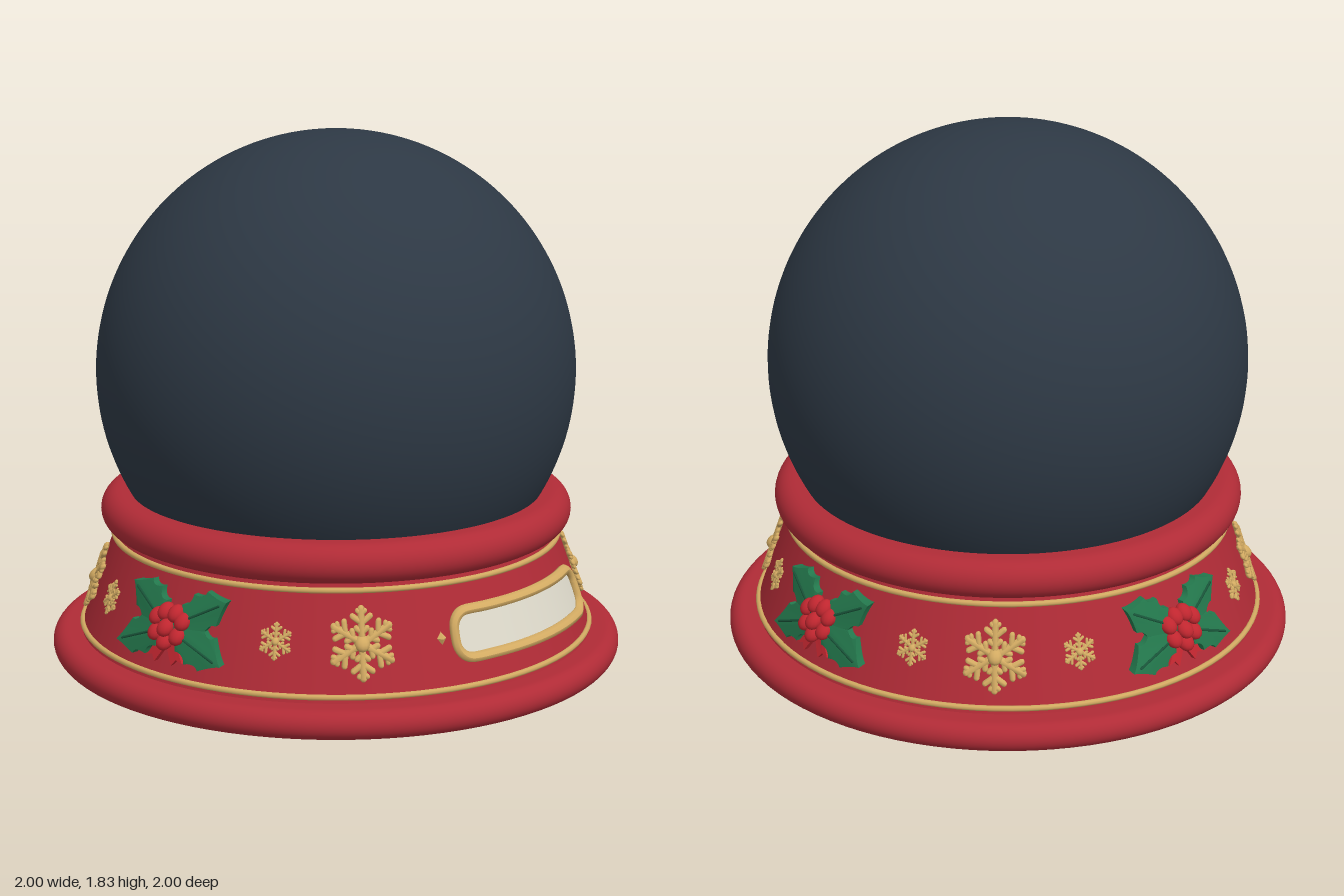
import * as THREE from 'three';
import { mergeGeometries, toCreasedNormals } from 'three/addons/utils/BufferGeometryUtils.js';

const makeMaterial = (name, color, side = THREE.FrontSide) => {
  const m = new THREE.MeshStandardMaterial({ color, side });
  m.name = name;
  return m;
};

const MID_Y = 0.28;
const wallRadius = (y) => 0.895 - 0.115 * (y - 0.11) / 0.32;

// Bends a flat ornament (x across, y up, z outward) around the conical wall.
function wrap(geometry, angle) {
  const g = geometry.clone();
  const p = g.attributes.position;
  for (let i = 0; i < p.count; i++) {
    const y = MID_Y + p.getY(i);
    const a = angle + p.getX(i) / 0.84;
    const r = wallRadius(y) + p.getZ(i);
    p.setXYZ(i, Math.sin(a) * r, y, Math.cos(a) * r);
  }
  g.computeVertexNormals();
  return g;
}

// Half-round edge profile, from lower inner point to upper inner point.
function roundedProfile(cx, cy, r, inner, first) {
  const pts = [new THREE.Vector2(first, cy - r), new THREE.Vector2(cx - 0.01, cy - r)];
  for (let i = 0; i <= 16; i++) {
    const t = -Math.PI / 2 + Math.PI * i / 16;
    pts.push(new THREE.Vector2(cx + Math.cos(t) * r, cy + Math.sin(t) * r));
  }
  pts.push(new THREE.Vector2(cx - 0.01, cy + r), new THREE.Vector2(inner, cy + r));
  return pts;
}

// Six branching arms with beads and a centre boss.
function snowflakeGeometry(size) {
  const parts = [];
  const bar = (x, y, len, rot, r) => new THREE.CapsuleGeometry(r, len, 3, 6)
    .translate(0, len / 2, 0).rotateZ(rot).translate(x, y, 0);
  for (let k = 0; k < 6; k++) {
    const arm = [bar(0, 0, 0.098, 0, 0.011)];
    for (const s of [-1, 1]) {
      arm.push(bar(0, 0.058, 0.034, s * 0.95, 0.009));
      arm.push(bar(0, 0.032, 0.02, s * 0.95, 0.009));
      arm.push(bar(0, 0.085, 0.014, s * 0.95, 0.008));
    }
    for (const a of arm) parts.push(a.rotateZ(k * Math.PI / 3));
  }
  parts.push(new THREE.SphereGeometry(0.024, 12, 8));
  return mergeGeometries(parts).scale(size, size, size).translate(0, 0, 0.01 * size);
}

// Spiny leaf along +x, folded along its midrib.
function leafGeometry() {
  const tips = [[0.065, 0.05], [0.115, 0.066], [0.17, 0.056], [0.235, 0]];
  const halves = [-1, 1].map((s) => {
    const shape = new THREE.Shape();
    shape.moveTo(0.02, 0);
    let [px, pw] = [0.02, 0.01];
    shape.lineTo(px, s * pw);
    for (const [x, w] of tips) {
      shape.quadraticCurveTo((px + x) / 2 + 0.008, s * Math.max(0.012, (pw + w) / 2 - 0.024), x, s * w);
      [px, pw] = [x, w];
    }
    shape.lineTo(0.02, 0);
    const g = new THREE.ExtrudeGeometry(shape, { depth: 0.036, bevelEnabled: false, curveSegments: 5 });
    const p = g.attributes.position;
    for (let i = 0; i < p.count; i++) {
      if (p.getZ(i) > 0.01) p.setZ(i, 0.036 - 0.26 * Math.abs(p.getY(i)));
      else p.setZ(i, -0.005);
    }
    return g;
  });
  return mergeGeometries(halves);
}

// Closed outline used by the plaque frame.
function roundedRectPath(hw, hh, r) {
  const pts = [];
  const corners = [[1, 1], [-1, 1], [-1, -1], [1, -1]];
  corners.forEach(([sx, sy], c) => {
    for (let i = 0; i <= 5; i++) {
      const t = (c + i / 5) * Math.PI / 2;
      pts.push(new THREE.Vector3(sx * (hw - r) + Math.cos(t) * r, sy * (hh - r) + Math.sin(t) * r, 0.018));
    }
    if (c % 2 === 0) {
      for (let i = 1; i < 8; i++) pts.push(new THREE.Vector3(sx * (hw - r) * (1 - i / 4), sy * hh, 0.018));
    }
  });
  return new THREE.CatmullRomCurve3(pts, true, 'centripetal');
}

export function createModel() {
  const red = makeMaterial('base red', 0xb02b36);
  const berryRed = makeMaterial('berry red', 0xc0262f, THREE.DoubleSide);
  const gold = makeMaterial('gold', 0xd2aa62);
  const glass = makeMaterial('dark glass', 0x2d3844);
  const green = makeMaterial('holly green', 0x23774c);
  const darkGreen = makeMaterial('vein green', 0x185338);
  const cream = makeMaterial('plaque cream', 0xdedacb);

  const model = new THREE.Group();
  model.name = 'snowGlobe';
  const add = (name, geometry, material, parent = model) => {
    const mesh = new THREE.Mesh(geometry, material);
    mesh.name = name;
    parent.add(mesh);
    return mesh;
  };
  const group = (name) => {
    const g = new THREE.Group();
    g.name = name;
    model.add(g);
    return g;
  };

  // Globe and turned base
  add('globe', new THREE.SphereGeometry(0.83, 96, 64, 0, Math.PI * 2, 0, 2.3).translate(0, 1, 0), glass);
  add('baseFlange', new THREE.LatheGeometry(roundedProfile(0.951, 0.05, 0.049, 0.86, 0), 96), red);
  add('baseWall', new THREE.LatheGeometry(
    [0.09, 0.2, 0.32, 0.48].map((y) => new THREE.Vector2(wallRadius(y), y)), 96), red);
  add('collar', new THREE.LatheGeometry(roundedProfile(0.757, 0.522, 0.066, 0.68, 0.72), 96), red);
  for (const [name, y] of [['lowerTrim', 0.118], ['upperTrim', 0.437]]) {
    add(name, new THREE.TorusGeometry(wallRadius(y) + 0.003, 0.01, 8, 96)
      .rotateX(Math.PI / 2).translate(0, y, 0), gold);
  }

  // Name plaque on the front
  const plaque = group('plaque');
  const hw = 0.35, hh = 0.073, r = 0.055;
  add('plaqueFrame', wrap(new THREE.TubeGeometry(roundedRectPath(hw, hh, r), 160, 0.016, 8, true), 0), gold, plaque);
  const panel = new THREE.PlaneGeometry(2, 2 * hh, 40, 12).translate(0, 0, 0.012);
  const pp = panel.attributes.position;
  for (let i = 0; i < pp.count; i++) {
    const dy = Math.max(0, Math.abs(pp.getY(i)) - (hh - r));
    pp.setX(i, pp.getX(i) * (hw - r + Math.sqrt(Math.max(0, r * r - dy * dy))));
  }
  add('plaquePanel', wrap(panel, 0), cream, plaque);
  for (const s of [-1, 1]) {
    const stud = new THREE.OctahedronGeometry(0.02).scale(0.8, 1, 0.7).translate(s * 0.395, -0.005, 0.008);
    add('plaqueStud', wrap(stud, 0), gold, plaque);
  }

  // Snowflakes around the wall
  const flakes = group('snowflakes');
  const large = snowflakeGeometry(1.06), small = snowflakeGeometry(0.54);
  for (const deg of [45, 135, 225, 315]) add('largeSnowflake', wrap(large, THREE.MathUtils.degToRad(deg)), gold, flakes);
  for (const deg of [64, 116, 154, 206, 244, 296]) add('smallSnowflake', wrap(small, THREE.MathUtils.degToRad(deg)), gold, flakes);

  // Holly sprigs on both sides and the back
  const leaf = leafGeometry();
  const rib = new THREE.CapsuleGeometry(0.004, 0.17, 2, 6).rotateZ(Math.PI / 2).translate(0.12, 0, 0.035);
  const berries = [[-0.055, 0.025, 0.03], [0.055, 0.025, 0.03], [-0.022, 0.045, 0.03], [0.022, 0.045, 0.03],
    [0, 0, 0.042], [-0.045, -0.022, 0.03], [0.045, -0.022, 0.03], [0, -0.045, 0.03]];
  for (const turn of [1, 2, 3]) {
    const a = turn * Math.PI / 2;
    const holly = group('hollySprig');
    for (const deg of [27, 153, -22, 202]) {
      const rot = THREE.MathUtils.degToRad(deg);
      add('hollyLeaf', toCreasedNormals(wrap(leaf.clone().rotateZ(rot), a), 0.4), green, holly);
      add('leafVein', wrap(rib.clone().rotateZ(rot), a), darkGreen, holly);
    }
    for (const [x, y, z] of berries) {
      add('berry', wrap(new THREE.SphereGeometry(0.028, 14, 10).translate(x, y, z), a), berryRed, holly);
    }
    // Notched ribbon tails
    for (const s of [-1, 1]) {
      const tail = new THREE.Shape([[0, -0.03], [0.03, -0.04], [0.075, -0.105], [0.05, -0.098], [0.035, -0.118], [0, -0.06]]
        .map(([x, y]) => new THREE.Vector2(s * x, y)));
      const g = new THREE.ExtrudeGeometry(tail, { depth: 0.018, bevelEnabled: false });
      add('ribbonTail', wrap(g, a), berryRed, holly);
    }
  }
  return model;
}
